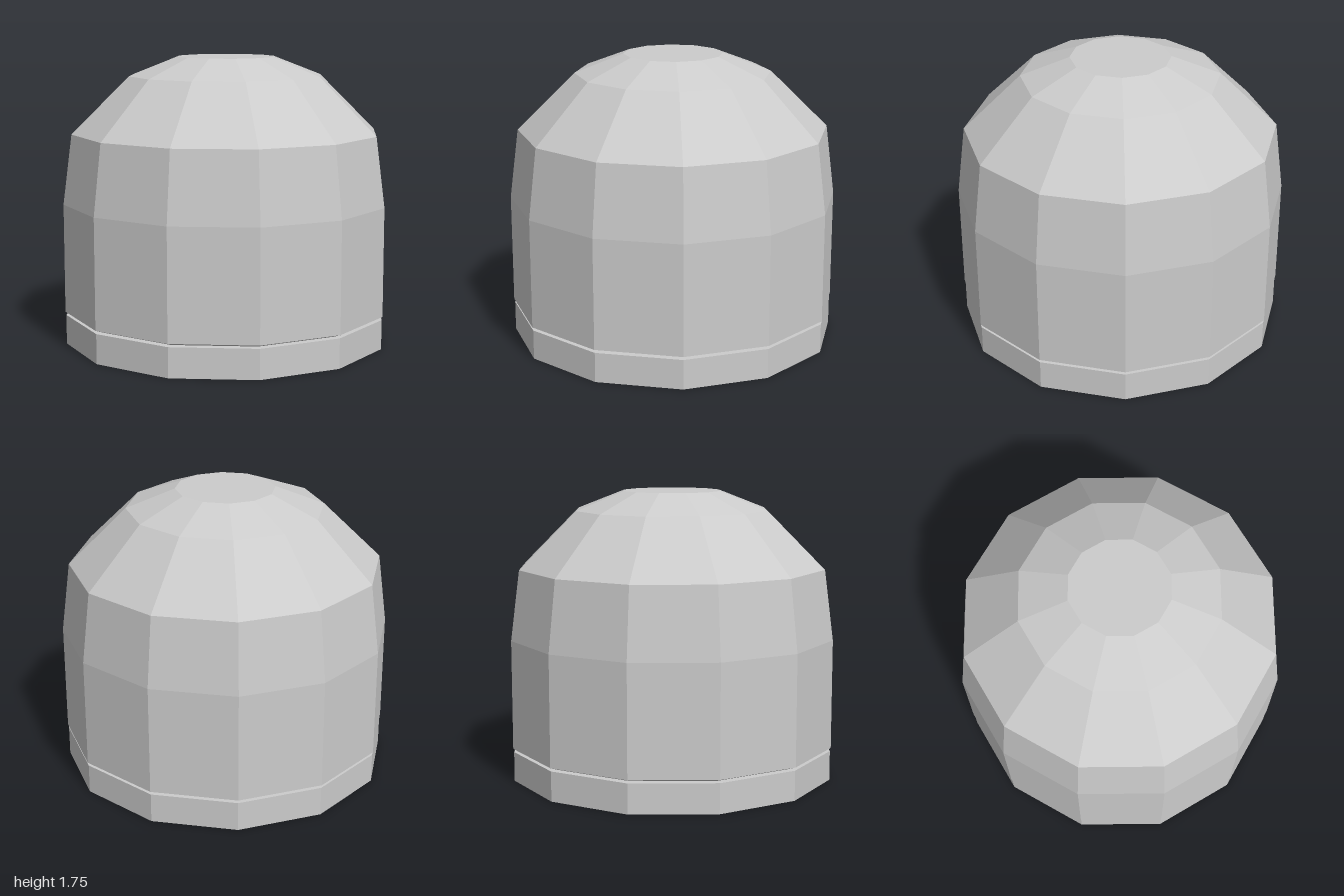
import * as THREE from 'three';

const SIDES = 12;

// Faceted solid of revolution, profile listed from bottom to top
function turned(name, profile) {
  const points = profile.map(([r, y]) => new THREE.Vector2(r, y));
  const material = new THREE.MeshStandardMaterial({ color: 0xcccccc, flatShading: true });
  const mesh = new THREE.Mesh(new THREE.LatheGeometry(points, SIDES), material);
  mesh.name = name;
  return mesh;
}

export function createModel() {
  const model = new THREE.Group();
  model.name = 'domedCap';

  // Short base ring, closed above and below
  model.add(turned('base', [[0, 0], [0.995, 0], [0.995, 0.18], [0, 0.18]]));

  // Domed body with a chamfered lower lip that forms the groove above the base
  model.add(turned('dome', [
    [0.945, 0.18], [1, 0.2], [1, 0.865], [0.945, 1.29],
    [0.595, 1.635], [0.3, 1.75], [0, 1.75],
  ]));

  return model;
}
